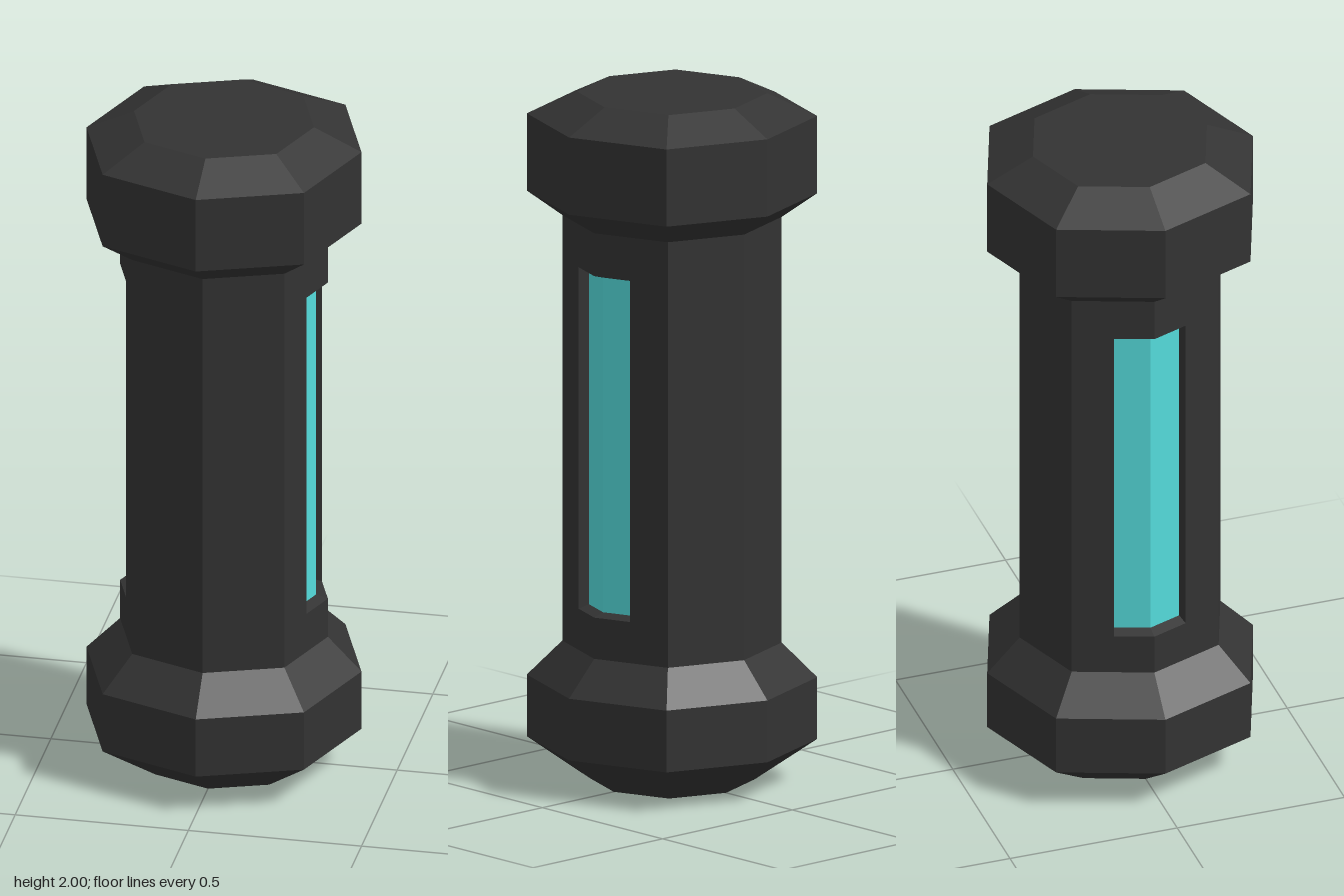
import * as THREE from 'three';

const dark = new THREE.MeshStandardMaterial({ color: 0x333333, flatShading: true });
const teal = new THREE.MeshStandardMaterial({ color: 0x55dddd, flatShading: true });

// Eight-sided cross-section; the diagonal corners sit slightly further out
function ring(r, y) {
  const d = r * 0.732;
  return [[0, r], [d, d], [r, 0], [d, -d], [0, -r], [-d, -d], [-r, 0], [-d, d]]
    .map(([x, z]) => new THREE.Vector3(x, y, z));
}

// Joins neighbouring rows of points with flat faces
function skin(name, rows, material, closed = true) {
  const points = [];
  const tri = (a, b, c) => {
    if (!a.equals(b) && !b.equals(c) && !c.equals(a)) points.push(a, b, c);
  };
  for (let j = 0; j + 1 < rows.length; j++) {
    const lo = rows[j], hi = rows[j + 1], n = lo.length;
    for (let i = 0; i < (closed ? n : n - 1); i++) {
      const k = (i + 1) % n;
      tri(lo[i], lo[k], hi[k]);
      tri(lo[i], hi[k], hi[i]);
    }
  }
  const geometry = new THREE.BufferGeometry().setFromPoints(points);
  geometry.computeVertexNormals();
  const mesh = new THREE.Mesh(geometry, material);
  mesh.name = name;
  return mesh;
}

const rings = (profile) => profile.map(([r, y]) => ring(r, y));

export function createModel() {
  const model = new THREE.Group();
  model.name = 'canister';

  const R = 0.397, B = 0.3;        // cap and body radius
  const y0 = 0.52, y1 = 1.515;     // window opening height
  const zo = 0.107, zi = 0.098;    // half width of opening and of glass
  const inset = 0.034;
  const surfaceX = (z) => B - Math.abs(z) * (B - B * 0.732) / (B * 0.732);

  // Caps, each with the plain band of body next to it
  model.add(skin('bottomCap', rings([[0, 0], [0.225, 0], [R, 0.12], [R, 0.3], [B, 0.4]]), dark));
  model.add(skin('lowerBody', rings([[B, 0.4], [B, y0]]), dark));
  model.add(skin('upperBody', rings([[B, y1], [B, 1.64]]), dark));
  model.add(skin('topCap', rings([[B, 1.64], [R, 1.71], [R, 1.935], [0.26, 2], [0, 2]]), dark));

  // Body wall between the two windows
  const d = B * 0.732, xo = surfaceX(zo);
  const wallRow = (y) => [[-xo, zo], [-d, d], [0, B], [d, d], [xo, zo]]
    .map(([x, z]) => new THREE.Vector3(x, y, z));

  // Window outline folded around the side corner
  const outline = (h, lo, hi, depth) => [[h, lo], [0, lo], [-h, lo], [-h, hi], [0, hi], [h, hi]]
    .map(([z, y]) => new THREE.Vector3(surfaceX(z) - depth, y, z));
  const outer = outline(zo, y0, y1, 0);
  const inner = outline(zi, y0 + 0.01, y1 - 0.01, inset);

  // Each half turn holds one wall and one window
  for (const [side, turn] of [['left', 0], ['right', Math.PI]]) {
    const half = new THREE.Group();
    half.name = side + 'Half';
    half.add(skin('bodyWall', [wallRow(y0), wallRow(y1)], dark, false));
    half.add(skin('windowFrame', [outer, inner], dark));
    half.add(skin('windowGlass', [inner.slice(0, 3), inner.slice(3).reverse()], teal, false));
    half.rotation.y = turn;
    model.add(half);
  }
  return model;
}
